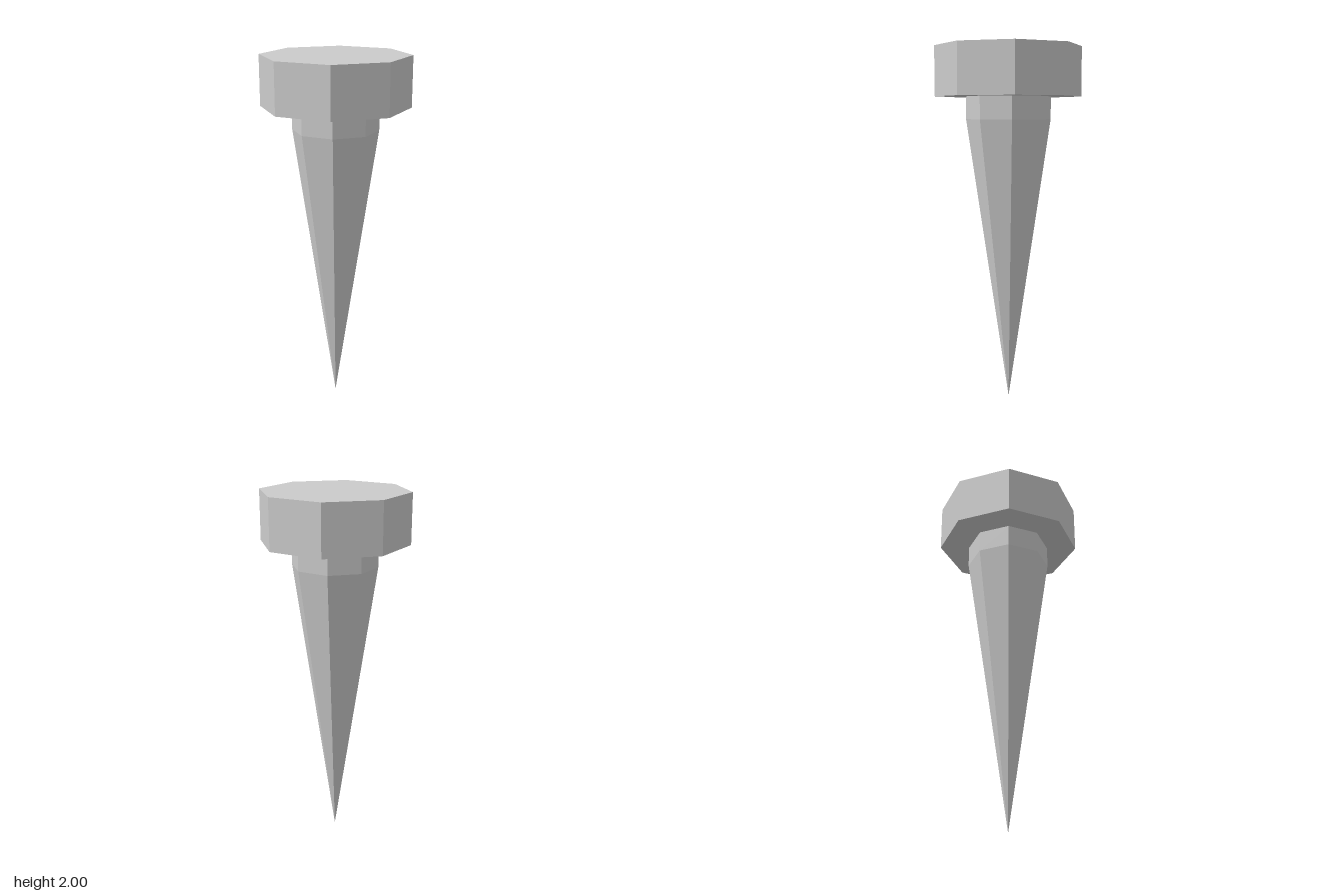
import * as THREE from 'three';

const SIDES = 8;
const HEAD_RADIUS = 0.407, SHANK_RADIUS = 0.236;
const TOP = 2, HEAD_BOTTOM = 1.725, TAPER_TOP = 1.6;

export function createModel() {
  const group = new THREE.Group();
  group.name = 'spike';
  const material = new THREE.MeshStandardMaterial({ color: 0xcccccc, flatShading: true });

  // Adds an octagonal section spanning two heights
  function addSection(name, topRadius, bottomRadius, top, bottom, open = false) {
    const geometry = new THREE.CylinderGeometry(topRadius, bottomRadius, top - bottom, SIDES, 1, open);
    const mesh = new THREE.Mesh(geometry, material);
    mesh.name = name;
    mesh.position.y = (top + bottom) / 2;
    group.add(mesh);
  }

  // Wide flat head
  addSection('head', HEAD_RADIUS, HEAD_RADIUS, TOP, HEAD_BOTTOM);
  // Short straight collar under the head
  addSection('collar', SHANK_RADIUS, SHANK_RADIUS, HEAD_BOTTOM, TAPER_TOP, true);
  // Long taper down to a sharp point
  addSection('point', SHANK_RADIUS, 0, TAPER_TOP, 0, true);

  return group;
}
